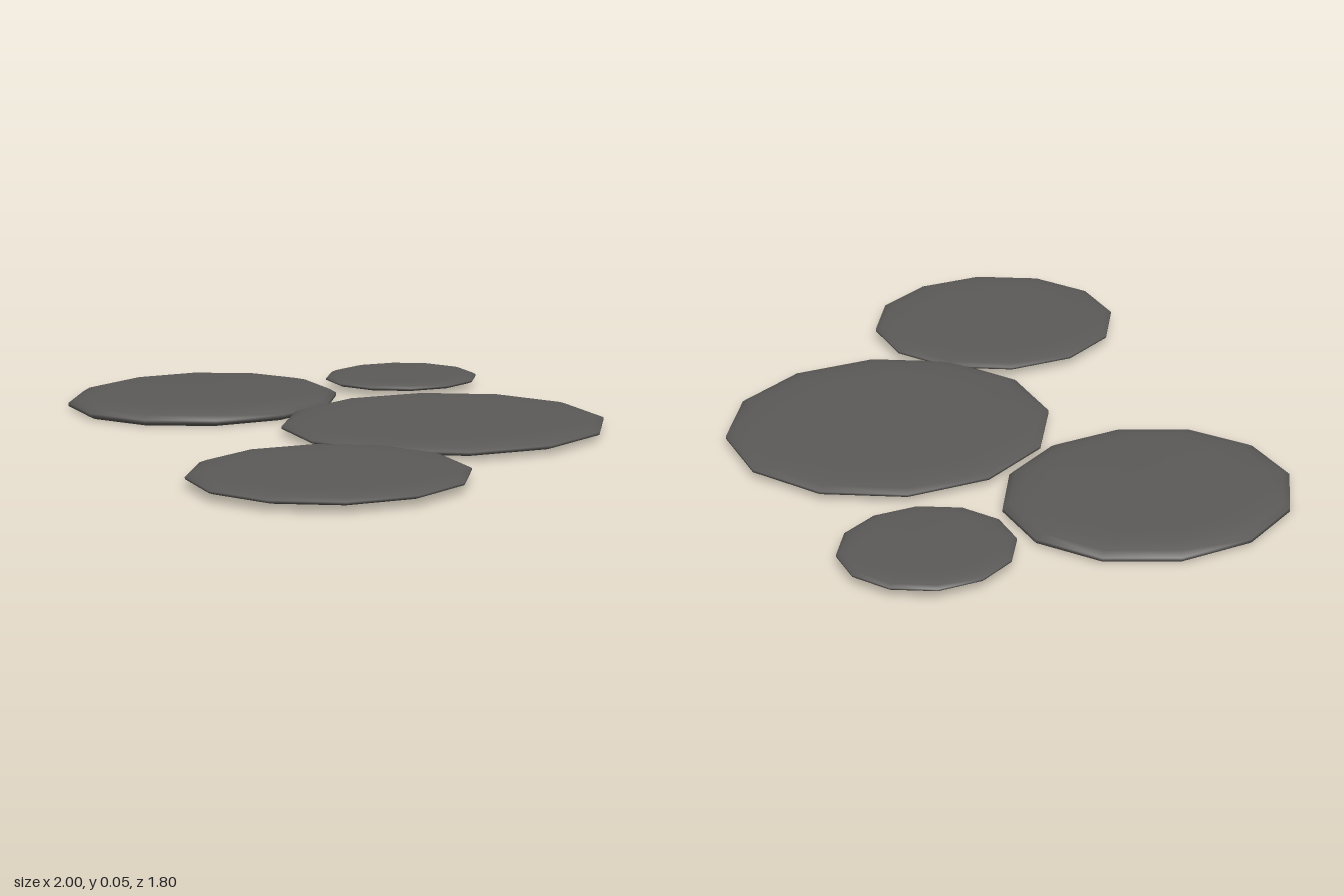
import * as THREE from 'three';

// Unit stone profile [radius, height], from the flat underside over the rim to the top
const PROFILE = [
  [0, 0], [0.96, 0], [1, 0.18], [1, 0.4], [0.95, 0.66], [0.86, 0.86], [0.7, 0.95], [0, 1],
].map(([r, y]) => new THREE.Vector2(r, y));

// Each flat stone: centre x/z, radii, underside height, thickness, turn
const STONES = [
  { name: 'largeStone', x: 0.22, z: -0.245, rx: 0.475, rz: 0.497, y: 0.013, h: 0.033, turn: 0 },
  { name: 'leftSideStone', x: 0.62, z: 0.497, rx: 0.38, rz: 0.397, y: 0.019, h: 0.028, turn: 0 },
  { name: 'rightSideStone', x: -0.6, z: 0.06, rx: 0.4, rz: 0.44, y: 0, h: 0.047, turn: 0.05 },
  { name: 'smallStone', x: -0.48, z: -0.65, rx: 0.24, rz: 0.255, y: 0.021, h: 0.024, turn: 0 },
];

export function createModel() {
  const group = new THREE.Group();
  group.name = 'steppingStones';
  const stone = new THREE.MeshStandardMaterial({ color: 0x5c5a58 });
  stone.name = 'darkStone';

  for (const s of STONES) {
    // Twelve-sided disc, smooth shaded after squashing
    const geometry = new THREE.LatheGeometry(PROFILE, 12);
    geometry.scale(s.rx, s.h, s.rz);
    const mesh = new THREE.Mesh(geometry, stone);
    mesh.name = s.name;
    mesh.position.set(s.x, s.y, s.z);
    mesh.rotation.y = s.turn;
    group.add(mesh);
  }
  return group;
}
